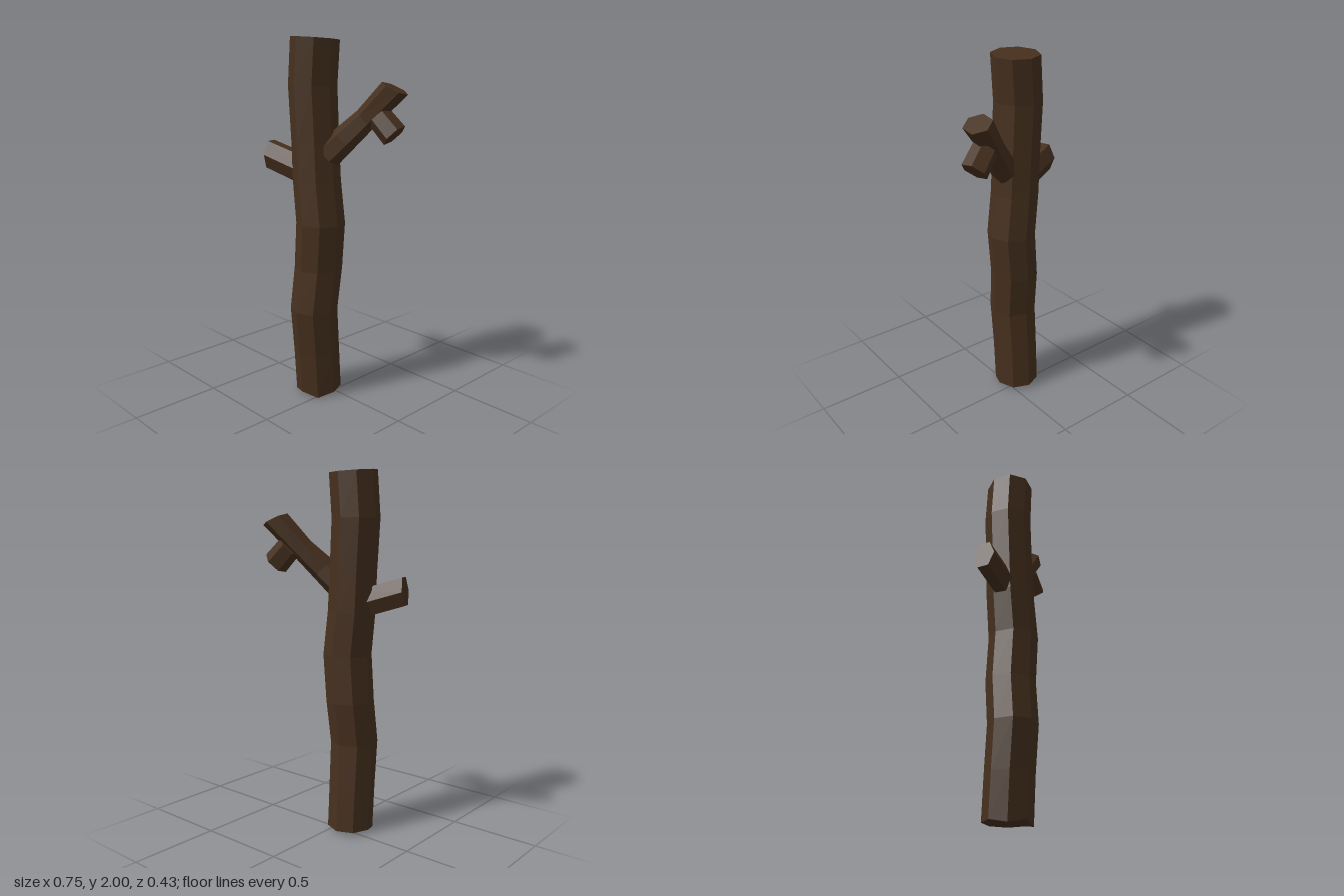
import * as THREE from 'three';

const bark = new THREE.MeshStandardMaterial({ color: 0x46301e, flatShading: true });

// Faceted limb lofted through sections [x, y, z, radius]. Each ring lies square to
// its normal; its first corner points along ref. stretch scales the other ring axis.
function limb(name, sections, { sides, normals, ref, phase = 0, stretch = 1, shape }) {
  const positions = [], index = [];
  sections.forEach(([x, y, z, r], i) => {
    const n = new THREE.Vector3(...normals[Math.min(i, normals.length - 1)]).normalize();
    const u = new THREE.Vector3(...ref).projectOnPlane(n).normalize();
    const v = new THREE.Vector3().crossVectors(n, u);
    for (let k = 0; k < sides; k++) {
      const a = phase + (k / sides) * Math.PI * 2;
      const p = new THREE.Vector3(x, y, z)
        .addScaledVector(u, r * Math.cos(a))
        .addScaledVector(v, r * stretch * Math.sin(a));
      if (shape) shape(p, i, k);
      positions.push(p.x, p.y, p.z);
    }
  });
  // Side walls
  for (let i = 0; i < sections.length - 1; i++) {
    for (let k = 0; k < sides; k++) {
      const a = i * sides + k, b = i * sides + (k + 1) % sides;
      index.push(a, b, b + sides, a, b + sides, a + sides);
    }
  }
  // End caps
  const last = (sections.length - 1) * sides;
  for (let k = 1; k < sides - 1; k++) {
    index.push(0, k + 1, k, last, last + k, last + k + 1);
  }
  const geometry = new THREE.BufferGeometry();
  geometry.setAttribute('position', new THREE.Float32BufferAttribute(positions, 3));
  geometry.setIndex(index);
  const flat = geometry.toNonIndexed();
  flat.computeVertexNormals();
  const mesh = new THREE.Mesh(flat, bark);
  mesh.name = name;
  return mesh;
}

export function createModel() {
  const group = new THREE.Group();
  group.name = 'deadTree';

  // Crooked eight-sided trunk with a slightly uneven foot and top
  const trunkRings = [
    [-0.077, 0.02, 0.047, 0.128],
    [-0.077, 0.25, 0.062, 0.129],
    [-0.075, 0.51, 0.083, 0.132],
    [-0.065, 0.75, 0.057, 0.133],
    [-0.045, 1.01, 0.057, 0.134],
    [-0.071, 1.25, 0.06, 0.131],
    [-0.08, 1.45, 0.061, 0.129],
    [-0.095, 1.75, 0.064, 0.131],
    [-0.077, 1.992, 0.062, 0.13],
  ];
  group.add(limb('trunk', trunkRings, {
    sides: 8, normals: [[0, 1, 0]], ref: [0, 0, 1],
    shape: (p, i, k) => {
      if (i === 0 && (k === 1 || k === 7)) p.y = 0;
      if (i === 8) p.y = 1.992 + 0.06 * (p.z - 0.062) - 0.03 * (p.x + 0.077);
    },
  }));

  // Rising branch on the left side
  group.add(limb('leftBranch', [
    [0.0, 1.39, 0.045, 0.08],
    [0.08, 1.475, 0.0, 0.072],
    [0.17, 1.58, -0.065, 0.063],
    [0.305, 1.742, -0.14, 0.075],
  ], {
    sides: 6, ref: [0.5, 0, 0.85], phase: Math.PI / 6,
    normals: [[0.6, 0.7, -0.35], [0.6, 0.7, -0.38], [0.6, 0.7, -0.38], [0.38, 0.9, -0.18]],
  }));

  // Short twig under the rising branch
  group.add(limb('twig', [
    [0.235, 1.595, -0.1, 0.068],
    [0.32, 1.503, -0.125, 0.072],
  ], { sides: 6, normals: [[0.7, -0.72, -0.2]], ref: [0, 0, 1] }));

  // Stub branch on the right side
  group.add(limb('rightStub', [
    [-0.1, 1.285, 0.075, 0.066],
    [-0.36, 1.367, 0.148, 0.064],
  ], { sides: 6, normals: [[-0.95, 0.1, 0.3]], ref: [0.3, 0, 0.95], stretch: 1.35 }));

  return group;
}
